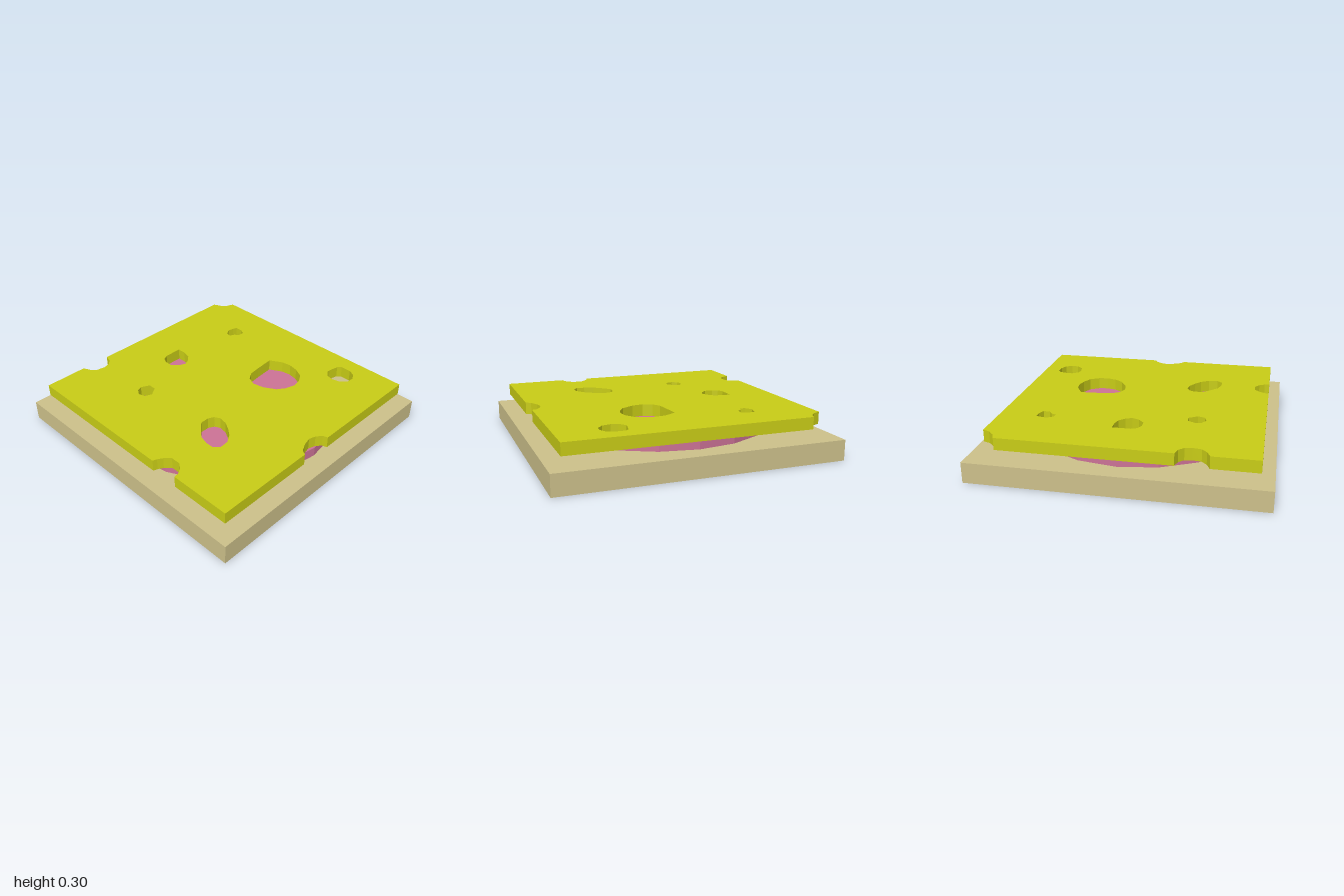
import * as THREE from 'three';

const material = (color) => new THREE.MeshStandardMaterial({ color, flatShading: true });

function addPart(group, name, geometry, color, y) {
  const mesh = new THREE.Mesh(geometry, material(color));
  mesh.name = name;
  mesh.position.y = y;
  group.add(mesh);
}

// [x, z] pairs to 2D points
const points = (pairs) => pairs.map(([x, z]) => new THREE.Vector2(x, z));

export function createModel() {
  const group = new THREE.Group();
  group.name = 'cheeseAndHamSlice';

  // Square bread base
  addPart(group, 'bread', new THREE.BoxGeometry(2, 0.145, 2), 0xccc08a, 0.0725);

  // Round ham slice with 20 sides
  addPart(group, 'ham', new THREE.CylinderGeometry(0.86, 0.86, 0.07, 20), 0xcc7296, 0.18);

  // Cheese outline with a bitten corner and three edge notches
  const e = 0.915;
  const cheese = new THREE.Shape(points([
    [-0.8, -e], [e, -e],
    [e, -0.06], [0.88, -0.05], [0.85, -0.01], [0.835, 0.04], [0.85, 0.1], [0.88, 0.16], [e, 0.18],
    [e, e],
    [0.47, e], [0.465, 0.88], [0.44, 0.84], [0.4, 0.81], [0.33, 0.81], [0.29, 0.85], [0.27, 0.885], [0.26, e],
    [-e, e],
    [-e, 0.6], [-0.86, 0.575], [-0.825, 0.54], [-0.815, 0.48], [-0.825, 0.43], [-0.86, 0.395], [-e, 0.38],
    [-e, -0.8], [-0.86, -0.825], [-0.82, -0.865],
  ]));

  // Irregular holes through the cheese
  const holes = [
    [[0.02, -0.48], [0.11, -0.53], [0.18, -0.54], [0.25, -0.525], [0.32, -0.49], [0.36, -0.425], [0.37, -0.36],
      [0.35, -0.29], [0.31, -0.23], [0.22, -0.18], [0.14, -0.165], [0.075, -0.195], [0.04, -0.25], [0.03, -0.34]],
    [[0.435, -0.7], [0.45, -0.775], [0.475, -0.8], [0.55, -0.8], [0.6, -0.775], [0.625, -0.73], [0.62, -0.68],
      [0.58, -0.635], [0.52, -0.62], [0.47, -0.63], [0.435, -0.675]],
    [[-0.5, -0.65], [-0.45, -0.65], [-0.405, -0.63], [-0.41, -0.585], [-0.44, -0.56], [-0.455, -0.525],
      [-0.49, -0.53], [-0.52, -0.575], [-0.51, -0.62]],
    [[-0.595, -0.09], [-0.53, -0.09], [-0.47, -0.075], [-0.43, -0.035], [-0.41, 0.01], [-0.43, 0.06],
      [-0.475, 0.1], [-0.535, 0.1], [-0.575, 0.08], [-0.595, 0.04]],
    [[-0.385, 0.39], [-0.33, 0.39], [-0.29, 0.45], [-0.31, 0.5], [-0.36, 0.515], [-0.4, 0.49], [-0.415, 0.45]],
    [[0.2, 0.36], [0.22, 0.32], [0.26, 0.3], [0.32, 0.31], [0.38, 0.345], [0.43, 0.385], [0.47, 0.445],
      [0.475, 0.51], [0.44, 0.55], [0.38, 0.55], [0.31, 0.53], [0.25, 0.475], [0.2, 0.425]],
  ];
  for (const hole of holes) cheese.holes.push(new THREE.Path(points(hole)));

  const slab = new THREE.ExtrudeGeometry(cheese, { depth: 0.085, bevelEnabled: false });
  slab.rotateX(Math.PI / 2);
  addPart(group, 'cheese', slab, 0xc8cc16, 0.3);

  return group;
}
